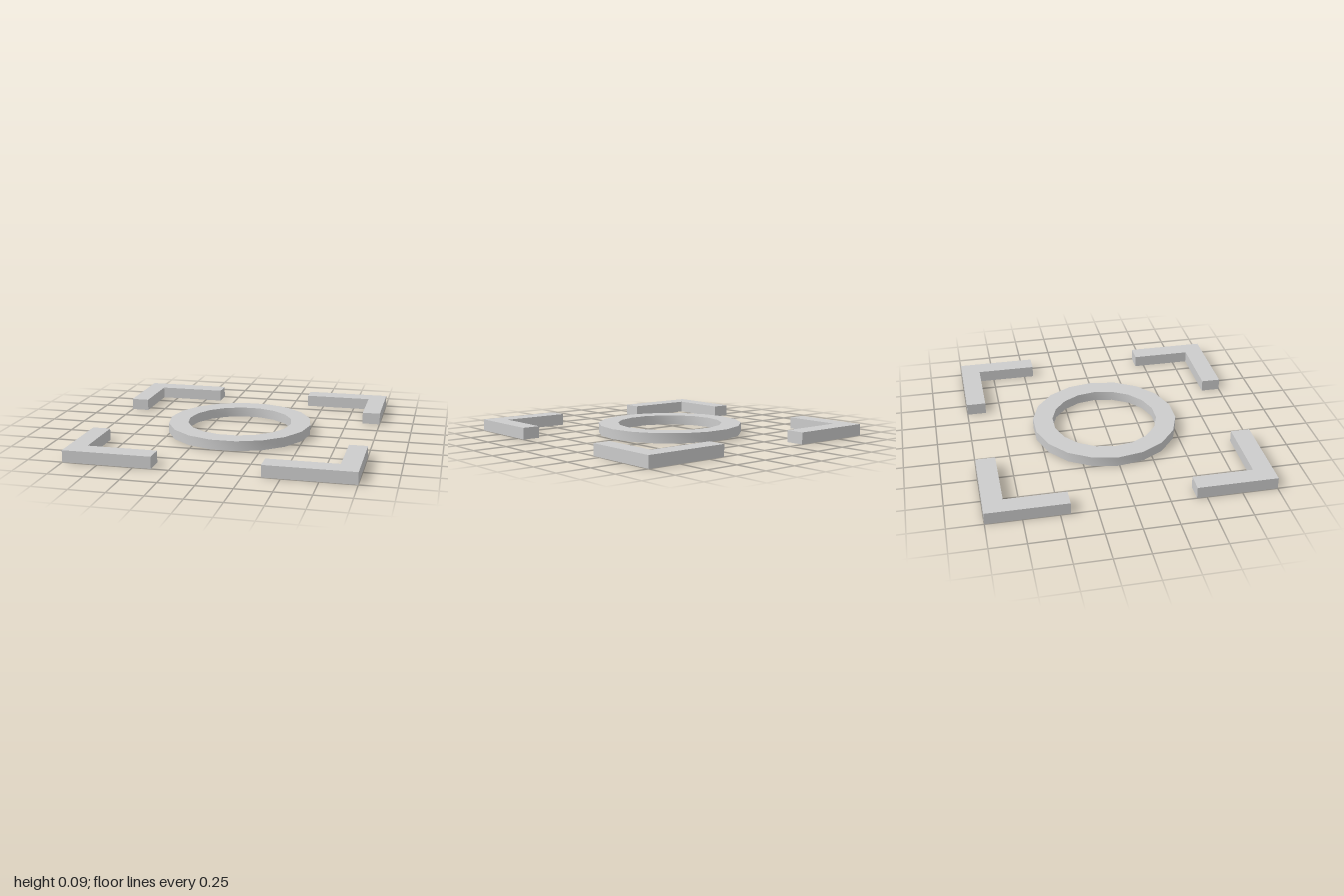
import * as THREE from 'three';
import { toCreasedNormals } from 'three/addons/utils/BufferGeometryUtils.js';

const material = new THREE.MeshStandardMaterial({ color: 0xcccccc });

// L-shaped corner piece; sx and sz pick the corner
function cornerBracket(sx, sz, name) {
  const outline = [[1, 1], [0.372, 1], [0.372, 0.861], [0.869, 0.861], [0.869, 0.43], [1, 0.43]];
  const shape = new THREE.Shape(outline.map(([x, z]) => new THREE.Vector2(sx * x, -sz * z)));
  const geometry = new THREE.ExtrudeGeometry(shape, { depth: 0.085, bevelEnabled: false });
  geometry.rotateX(-Math.PI / 2);
  const mesh = new THREE.Mesh(geometry, material);
  mesh.name = name;
  return mesh;
}

// Flat 18-sided ring with smooth walls and sharp rims
function centreRing() {
  const inner = 0.387, outer = 0.532, bottom = 0.008, top = 0.08;
  const profile = [[outer, bottom], [outer, top], [inner, top], [inner, bottom], [outer, bottom]]
    .map(([r, y]) => new THREE.Vector2(r, y));
  const lathe = new THREE.LatheGeometry(profile, 18, Math.PI / 2);
  const mesh = new THREE.Mesh(toCreasedNormals(lathe, Math.PI / 6), material);
  mesh.position.set(-0.003, 0, -0.008);
  mesh.name = 'centreRing';
  return mesh;
}

export function createModel() {
  const group = new THREE.Group();
  group.name = 'targetFrame';
  group.add(centreRing());
  for (const [sz, depthName] of [[1, 'front'], [-1, 'back']]) {
    for (const [sx, sideName] of [[1, 'Left'], [-1, 'Right']]) {
      group.add(cornerBracket(sx, sz, `${depthName}${sideName}Bracket`));
    }
  }
  return group;
}
